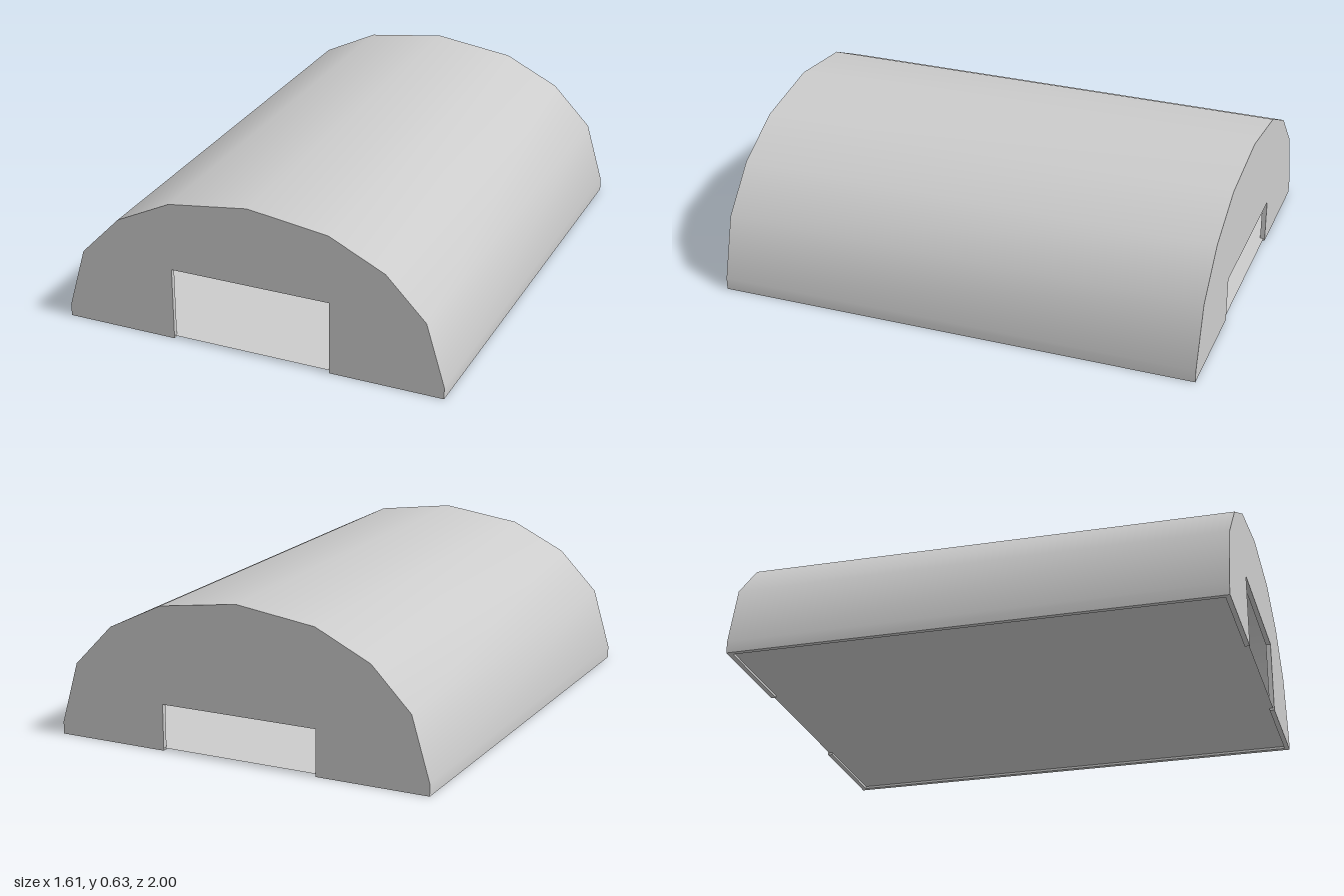
import * as THREE from 'three';
import { toCreasedNormals } from 'three/addons/utils/BufferGeometryUtils.js';

const THICK = 0.02;
// right half of the vault outline, from the ground up to the ridge
const HALF = [[0.805, 0], [0.805, 0.05], [0.73, 0.305], [0.565, 0.475], [0.335, 0.587], [0, 0.633]];

// full arch from +x ground over the ridge to -x ground
function arch(scale) {
  const left = HALF.slice(0, -1).reverse().map(([x, y]) => [-x, y]);
  return [...HALF, ...left].map(([x, y]) => new THREE.Vector2(x * scale, y * scale));
}

function extrude(points, depth) {
  return new THREE.ExtrudeGeometry(new THREE.Shape(points), { depth, bevelEnabled: false });
}

export function createModel() {
  const model = new THREE.Group();
  model.name = 'hangar';
  const grey = new THREE.MeshStandardMaterial({ color: 0xcccccc });
  grey.name = 'light grey';
  const greyFloor = new THREE.MeshStandardMaterial({ color: 0xcccccc, side: THREE.DoubleSide });
  greyFloor.name = 'light grey floor';

  const add = (name, geometry, material = grey) => {
    const mesh = new THREE.Mesh(geometry, material);
    mesh.name = name;
    model.add(mesh);
    return mesh;
  };

  // thin vaulted roof, smooth along the curve and sharp at the rims
  const inner = 1 - THICK / 0.805;
  const roof = extrude([...arch(1), ...arch(inner).reverse()], 2);
  roof.translate(0, 0, -1);
  add('roof', toCreasedNormals(roof, 0.7));

  // end walls inside the vault, each with a doorway open to the ground
  const endWall = (name, doorHeight, z) => {
    const w = 0.335;
    const door = [[-w, 0], [-w, doorHeight], [w, doorHeight], [w, 0]];
    const outline = [...arch(inner), ...door.map(([x, y]) => new THREE.Vector2(x, y))];
    add(name, extrude(outline, THICK)).position.z = z;
  };
  endWall('frontWall', 0.305, 1 - THICK);
  endWall('backWall', 0.19, -1);

  // floor sheet, set just above the wall bottoms
  const floor = add('floor', new THREE.PlaneGeometry(1.57, 1.99), greyFloor);
  floor.rotation.x = -Math.PI / 2;
  floor.position.y = 0.01;

  return model;
}
